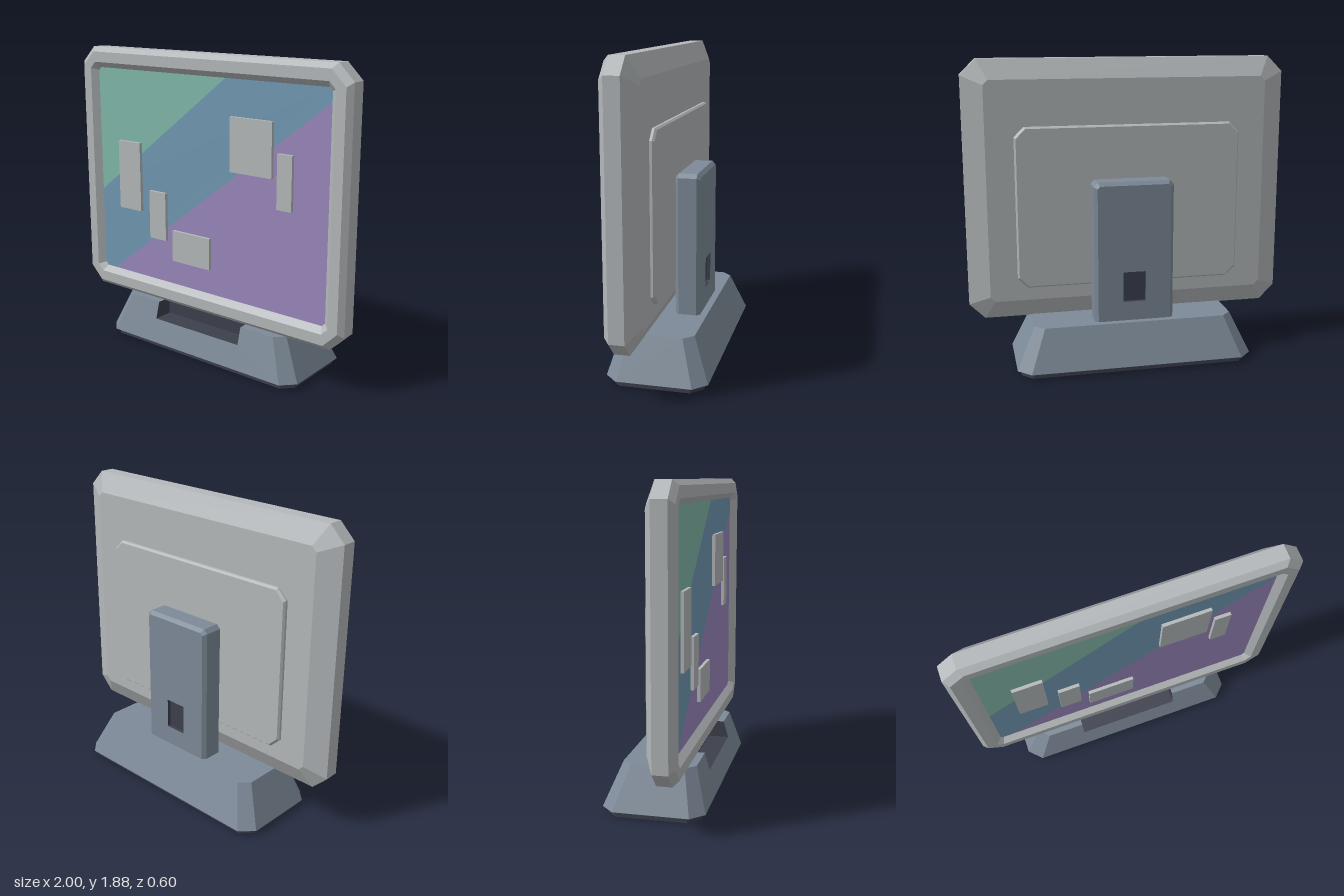
import * as THREE from 'three';

const material = (name, color, side = THREE.FrontSide) => {
  const m = new THREE.MeshStandardMaterial({ color, side });
  m.name = name;
  return m;
};

// Rectangle with cut corners, counter-clockwise; side 0 is the bottom edge.
const cutRect = ([w, h, c, z, cy = 0]) => [
  [-w + c, -h], [w - c, -h], [w, -h + c], [w, h - c],
  [w - c, h], [-w + c, h], [-w, h - c], [-w, -h + c],
].map(([x, y]) => [x, y + cy, z]);

// Flat-faced skin through rings of [halfWidth, halfHeight, cut, z, centreY].
function loft(rings, { start = true, end = true, skip = -1 } = {}) {
  const loops = rings.map(cutRect);
  const pos = [];
  const tri = (a, b, c) => pos.push(...a, ...b, ...c);
  for (let r = 0; r < loops.length - 1; r++) {
    const a = loops[r], b = loops[r + 1];
    for (let i = 0; i < 8; i++) {
      if (i === skip) continue;
      const j = (i + 1) % 8;
      tri(a[i], a[j], b[j]);
      tri(a[i], b[j], b[i]);
    }
  }
  const first = loops[0], last = loops[loops.length - 1];
  for (let i = 1; i < 7; i++) {
    if (start) tri(first[0], first[i + 1], first[i]);
    if (end) tri(last[0], last[i], last[i + 1]);
  }
  const g = new THREE.BufferGeometry();
  g.setAttribute('position', new THREE.Float32BufferAttribute(pos, 3));
  g.computeVertexNormals();
  return g;
}

// Flat polygon, each of its 2D points placed in space by a rule.
function face(points, place) {
  const g = new THREE.ShapeGeometry(new THREE.Shape(points.map(([x, y]) => new THREE.Vector2(x, y))));
  const p = g.attributes.position;
  for (let i = 0; i < p.count; i++) p.setXYZ(i, ...place(p.getX(i), p.getY(i)));
  g.computeVertexNormals();
  return g;
}

export function createModel() {
  const model = new THREE.Group();
  model.name = 'monitor';
  const grey = material('casing grey', 0xb4b8ba);
  const slate = material('stand slate', 0x7d8a98);
  const dark = material('dark trim', 0x3c404c, THREE.DoubleSide);
  const teal = material('screen teal', 0x82b8aa);
  const blue = material('screen blue', 0x7098b2);
  const purple = material('screen purple', 0x9a88bc);

  const add = (name, geometry, mat, parent = model) => {
    const mesh = new THREE.Mesh(geometry, mat);
    mesh.name = name;
    parent.add(mesh);
    return mesh;
  };

  // Casing: back, bevels, front frame and the sloped lip down to the screen
  const cy = 1.08, screenZ = 0.165;
  add('casing', loft([
    [0.87, 0.68, 0.03, 0.02, cy],
    [1, 0.8, 0.095, 0.08, cy],
    [1, 0.8, 0.095, 0.17, cy],
    [0.97, 0.77, 0.09, 0.202, cy],
    [0.908, 0.705, 0.04, 0.202, cy],
    [0.87, 0.67, 0.02, screenZ, cy],
  ], { end: false }), grey);

  // Screen: three diagonal bands of colour
  const screen = new THREE.Group();
  screen.name = 'screen';
  model.add(screen);
  const bands = [
    ['upperBand', teal, [[-0.87, 0.945], [0.16, 1.75], [-0.85, 1.75], [-0.87, 1.73]]],
    ['middleBand', blue, [[-0.87, 0.945], [-0.87, 0.43], [-0.85, 0.41], [-0.775, 0.41],
      [0.87, 1.67], [0.87, 1.73], [0.85, 1.75], [0.16, 1.75]]],
    ['lowerBand', purple, [[-0.775, 0.41], [0.85, 0.41], [0.87, 0.43], [0.87, 1.67]]],
  ];
  for (const [name, mat, pts] of bands) add(name, face(pts, (x, y) => [x, y, screenZ]), mat, screen);

  // Raised tiles on the screen: left, right, bottom, top
  const tiles = [
    [-0.695, -0.51, 0.85, 1.295], [-0.435, -0.3, 0.69, 1.0], [-0.245, 0.05, 0.57, 0.77],
    [0.207, 0.503, 1.21, 1.535], [0.54, 0.64, 1.038, 1.36],
  ];
  tiles.forEach(([l, r, b, t], i) => {
    add(`screenTile${i + 1}`, new THREE.BoxGeometry(r - l, t - b, 0.02), grey, screen)
      .position.set((l + r) / 2, (b + t) / 2, screenZ + 0.01);
  });

  // Raised panel on the back
  add('backPanel', loft([
    [0.69, 0.488, 0.058, -0.007, 0.983],
    [0.7, 0.498, 0.06, 0.005, 0.983],
    [0.7, 0.498, 0.06, 0.025, 0.983],
  ]), grey);

  // Neck with bevelled edges and a square socket in its back
  const socket = [0.07, 0.095, 0.004];
  add('neck', loft([
    [...socket, -0.158, 0.5],
    [0.226, 0.432, 0.015, -0.158, 0.703],
    [0.247, 0.453, 0.025, -0.137, 0.703],
    [0.247, 0.453, 0.025, -0.026, 0.703],
    [0.226, 0.432, 0.015, -0.005, 0.703],
  ], { start: false }), slate);
  add('neckSocket', loft([[...socket, -0.135, 0.5], [...socket, -0.158, 0.5]], { end: false }), dark);

  // Base: sloped sides, with a notch cut into the front and top
  const low = 0.035, top = 0.285, floor = 0.18, nx = 0.328, nz = 0.13;
  const frontZ = (y) => 0.3 - 0.07 * (y - low) / (top - low);
  const base = new THREE.Group();
  base.name = 'base';
  model.add(base);
  add('baseSides', loft([
    [0.735, 0.3, 0.078, low, 0],
    [0.62, 0.215, 0.058, top, -0.015],
  ], { end: false, skip: 0 }).rotateX(-Math.PI / 2), slate, base);
  add('baseFront', face([
    [-0.657, low], [0.657, low], [0.562, top], [nx, top],
    [nx, floor], [-nx, floor], [-nx, top], [-0.562, top],
  ], (x, y) => [x, y, frontZ(y)]), slate, base);
  const rim = cutRect([0.62, 0.215, 0.058, 0, -0.015]);
  add('baseTop', face([
    rim[0], [-nx, -0.23], [-nx, -nz], [nx, -nz], [nx, -0.23], ...rim.slice(1),
  ], (x, y) => [x, top, -y]), slate, base);

  // Notch lining
  add('notchFloor', face([[-nx, -frontZ(floor)], [nx, -frontZ(floor)], [nx, -nz], [-nx, -nz]],
    (x, y) => [x, floor, -y]), dark, base);
  add('notchBack', face([[-nx, floor], [nx, floor], [nx, top], [-nx, top]],
    (x, y) => [x, y, nz]), dark, base);
  for (const [name, s] of [['leftNotchWall', 1], ['rightNotchWall', -1]]) {
    add(name, face([[nz, floor], [frontZ(floor), floor], [frontZ(top), top], [nz, top]],
      (z, y) => [s * nx, y, z]), dark, base);
  }

  // Foot pad under the base
  add('footPad', loft([[0.71, 0.272, 0.065, 0], [0.71, 0.272, 0.065, low]])
    .rotateX(-Math.PI / 2), dark, base);
  add('baseUnderside', loft([[0.735, 0.3, 0.078, low], [0.735, 0.3, 0.078, low + 0.001]],
    { end: false }).rotateX(-Math.PI / 2), slate, base);

  return model;
}
